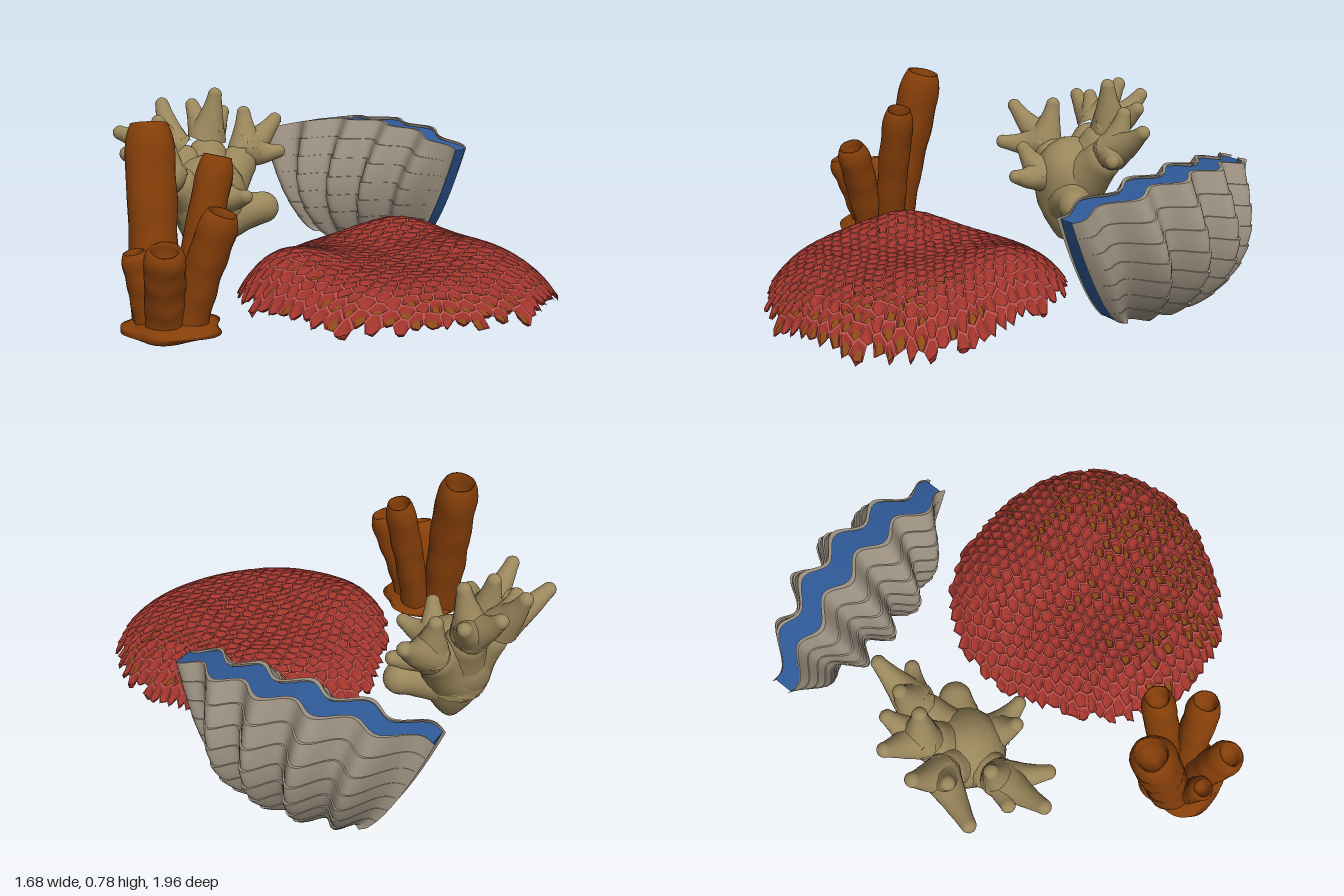
import * as THREE from 'three';
import { mergeVertices } from 'three/addons/utils/BufferGeometryUtils.js';
import { ParametricGeometry } from 'three/addons/geometries/ParametricGeometry.js';

const mat = (name, color, side = THREE.FrontSide) => {
  const m = new THREE.MeshStandardMaterial({ color, side });
  m.name = name;
  return m;
};
const V = (a) => new THREE.Vector3(...a);
const { sin, cos, PI, sqrt } = Math;

// Smooth surface from a rule (u, v) -> point
function surface(fn, nu, nv) {
  let g = new ParametricGeometry(fn, nu, nv);
  g.deleteAttribute('normal');
  g.deleteAttribute('uv');
  g = mergeVertices(g, 1e-5);
  g.computeVertexNormals();
  return g;
}

// Round rings [t, radius] swept along a curve through the points
function sweep(points, rings, sides, wobble = 0) {
  const curve = new THREE.CatmullRomCurve3(points.map(V));
  const N = 60, f = curve.computeFrenetFrames(N), last = rings.length - 1;
  return surface((u, v, out) => {
    const [t, r0] = rings[Math.round(v * last)];
    const k = Math.round(t * N), a = u * 2 * PI;
    const r = r0 * (1 + wobble * (sin(3 * a + 9 * t) + 0.7 * sin(5 * a - 23 * t)));
    out.copy(curve.getPointAt(t))
      .addScaledVector(f.normals[k], r * cos(a))
      .addScaledVector(f.binormals[k], r * sin(a));
  }, sides, last);
}

function add(group, name, geometry, material) {
  const m = new THREE.Mesh(geometry, material);
  m.name = name;
  group.add(m);
}

function part(name) {
  const g = new THREE.Group();
  g.name = name;
  return g;
}

// Cluster of hollow tubes on a lumpy foot
function tubeSponge() {
  const g = part('tubeSponge'), brown = mat('rust brown', 0x863f09);
  const tubes = [ // foot, top, radius
    [[-0.71, 0.01, 0.5], [-0.7, 0.73, 0.345], 0.095],
    [[-0.6, 0.01, 0.52], [-0.465, 0.618, 0.455], 0.071],
    [[-0.61, 0.01, 0.6], [-0.485, 0.45, 0.67], 0.074],
    [[-0.69, 0.01, 0.61], [-0.695, 0.34, 0.725], 0.076],
    [[-0.74, 0.01, 0.56], [-0.79, 0.305, 0.58], 0.053],
  ];
  for (const [a, b, r] of tubes) {
    const mid = a.map((c, i) => (c + b[i]) / 2 + (i === 1 ? 0.02 : 0));
    const rings = [];
    for (let i = 0; i <= 24; i++) {
      const t = i / 24;
      rings.push([t, r * (0.9 + 0.1 * t + 0.02 * sin(t * 23) - 0.26 * t ** 14)]);
    }
    rings.push([1, r * 0.64], [0.95, r * 0.58], [0.84, r * 0.5], [0.82, 0]);
    add(g, 'tube', sweep([a, mid, b], rings, 24, 0.02), brown);
  }
  const foot = [[0, 0], [0, 0.155], [0.25, 0.175], [0.5, 0.173], [0.75, 0.15], [1, 0.1], [1, 0]];
  add(g, 'foot', sweep([[-0.655, 0, 0.57], [-0.655, 0.025, 0.57], [-0.655, 0.05, 0.57]], foot, 60, 0.065), brown);
  return g;
}

// Thick trunk dividing into limbs and blunt fingers
function branchingCoral() {
  const g = part('branchingCoral'), tan = mat('sand tan', 0x9a875c);
  const branch = (name, pts, r0, r1) => {
    const length = V(pts[0]).distanceTo(V(pts[pts.length - 1]));
    const cap = Math.min(0.4, r1 / length), rings = [];
    for (let i = 0; i <= 14; i++) rings.push([i / 14 * (1 - cap), r1 + (r0 - r1) * (1 - i / 14) ** 1.25]);
    for (const k of [0.2, 0.4, 0.6, 0.8, 0.93, 1]) rings.push([1 - cap + cap * k, r1 * sqrt(1 - k * k)]);
    add(g, name, sweep(pts, rings, 18, 0.012), tan);
  };
  const trunk = [[0, 0], [0.02, 0.04], [0.08, 0.062], [0.2, 0.1], [0.35, 0.135], [0.5, 0.155], [0.65, 0.163], [0.78, 0.15], [0.88, 0.12], [0.96, 0.07], [1, 0]];
  add(g, 'trunk', sweep([[-0.39, 0.025, -0.28], [-0.39, 0.24, -0.29], [-0.4, 0.5, -0.32]], trunk, 28, 0.025), tan);
  const core = [-0.39, 0.26, -0.3];
  const limbs = [ // elbow, elbow radius, finger tips
    [[-0.37, 0.55, -0.46], 0.085, [[-0.33, 0.77, -0.44], [-0.42, 0.7, -0.62], [-0.27, 0.67, -0.58]]],
    [[-0.2, 0.49, -0.45], 0.085, [[-0.03, 0.63, -0.56], [-0.03, 0.49, -0.42], [-0.2, 0.68, -0.5]]],
    [[-0.52, 0.52, -0.42], 0.08, [[-0.56, 0.72, -0.54], [-0.78, 0.61, -0.36], [-0.6, 0.66, -0.4]]],
    [[-0.57, 0.43, -0.2], 0.08, [[-0.77, 0.57, -0.06], [-0.6, 0.43, 0.02], [-0.72, 0.5, -0.2], [-0.58, 0.63, -0.24]]],
    [[-0.36, 0.34, -0.17], 0.08, [[-0.26, 0.37, -0.02], [-0.39, 0.48, -0.07]]],
  ];
  for (const [e, r, tips] of limbs) {
    const mid = core.map((c, i) => (c + e[i]) / 2);
    branch('limb', [core, mid, e], 0.15, r);
    for (const tip of tips) {
      const m = e.map((c, i) => c * 0.5 + tip[i] * 0.5 - (i === 1 ? 0.012 : 0));
      branch('finger', [e, m, tip], r, 0.03);
    }
  }
  branch('sideKnob', [[-0.38, 0.22, -0.29], [-0.25, 0.25, -0.285], [-0.09, 0.275, -0.28]], 0.13, 0.068);
  return g;
}

// Two fluted valves with growth terraces around a bowed mantle
function giantClam() {
  const g = part('giantClam');
  const shell = mat('shell grey', 0x9c9181, THREE.DoubleSide);
  const blue = mat('mantle blue', 0x2f5a98, THREE.DoubleSide);
  const place = (u, v, s, flare, out) => {
    const a = u * (0.285 + 0.25 * v ** 0.65);
    const fade = 1 - Math.abs(u) ** 3;
    const bulge = (0.13 * sin(PI * Math.min(v, 1) ** 0.9) + flare) * fade;
    const half = 0.058 - 0.018 * u * u + bulge;
    const wave = (0.022 + 0.008 * v + 0.16 * bulge) * cos(15.4 * (u - 0.13));
    const bow = v * (0.06 - 0.115 * (u - 0.14) ** 2);
    const w = s * half + wave + bow;
    const y = 0.025 + v * (0.57 - 0.085 * u * u) + 0.03 * u * u * (1 - v);
    out.set(0.374 + a * 0.594 + w * 0.804, y, -0.568 + a * 0.804 - w * 0.594);
  };
  const bands = 7, w = (t) => t * 2 - 1;
  for (const s of [-1, 1]) for (let b = 0; b < bands; b++) {
    const lo = Math.max(0, b / bands - 0.01), hi = (b + 1) / bands;
    add(g, 'growthBand', surface((u, v, out) =>
      place(w(u), lo + (hi - lo) * Math.max(v, 0), s, 0.004 + 0.01 * v, out), 100, 5), shell);
    // Lip that closes the step to the next band
    add(g, 'bandLip', surface((u, v, out) =>
      place(w(u), hi, s, 0.014 - 0.018 * v, out), 100, 1), shell);
  }
  add(g, 'mantleTop', surface((u, v, out) => place(w(u) * 0.98, 0.98, w(v), -0.003, out), 100, 6), blue);
  add(g, 'mantleBase', surface((u, v, out) => place(w(u) * 0.98, 0.015, w(v), -0.003, out), 100, 4), blue);
  for (const e of [-0.98, 0.98]) {
    add(g, 'mantleEnd', surface((u, v, out) => place(e, 0.015 + u * 0.965, w(v), -0.003, out), 24, 6), blue);
  }
  return g;
}

// Low domed crust made of open honeycomb cells
function honeycombCoral() {
  const g = part('honeycombCoral');
  const mats = [
    mat('ridge rose', 0xb54f4b, THREE.DoubleSide),
    mat('coral red', 0xa6362d, THREE.DoubleSide),
    mat('pit brown', 0x8a4a16, THREE.DoubleSide),
  ];
  const bump = (x, z, cx, cz, h, r) => h * Math.exp(-((x - cx) ** 2 + (z - cz) ** 2) / (r * r));
  const project = (p, q, lift) => {
    const r0 = Math.hypot(p, q), th = Math.atan2(q, p);
    const r = Math.min(r0, 1 + 0.012 * sin(th * 47));
    const R = 0.608 + 0.025 * cos(3 * (th + PI / 2));
    const x = 0.22 + r * cos(th) * R, z = 0.413 + r * sin(th) * R;
    const y = 0.045 + 0.15 * (1 - r ** 6) + bump(x, z, -0.22, 0.43, 0.06, 0.2)
      + bump(x, z, 0.37, 0.02, 0.075, 0.22) + bump(x, z, 0.5, 0.42, 0.04, 0.22);
    return [x, Math.max(0.03, y + lift), z];
  };
  // Repeatable noise from 0 to 1 for a shared cell corner
  const noise = (x, z, seed) => {
    const n = sin(Math.round(x * 97.3 + 0.137) * 12.99 + Math.round(z * 97.3 + 0.237) * 78.23 + seed) * 43758.5;
    return n - Math.floor(n);
  };
  const s = 0.056, squash = 0.74, data = [[], [], []];
  const rings = [[1, 0.008], [0.86, 0.006], [0.56, -0.012], [0, -0.015]]; // scale, lift
  for (let j = -26; j <= 26; j++) for (let i = -12; i <= 12; i++) {
    const cx = sqrt(3) * s * (i + (j & 1) / 2), cz = 1.5 * s * squash * j;
    if (Math.hypot(cx, cz) > 0.99) continue;
    const corners = [];
    for (let k = 0; k < 6; k++) {
      const a = PI / 6 + k * PI / 3, x = cx + s * cos(a), z = cz + s * squash * sin(a);
      corners.push([x + 0.032 * (noise(x, z, 1) - 0.5), z + 0.03 * (noise(x, z, 2) - 0.5)]);
    }
    const mx = corners.reduce((t, c) => t + c[0], 0) / 6, mz = corners.reduce((t, c) => t + c[1], 0) / 6;
    const at = (n, k) => {
      const [sc, lift] = rings[n], c = corners[k % 6];
      return project(mx + (c[0] - mx) * sc, mz + (c[1] - mz) * sc, lift);
    };
    // Brown floors grow more common towards the front
    const brownFloor = noise(cx, cz, 3) < 0.25 + 0.6 * cz + 0.25 * cx;
    for (let n = 0; n < 3; n++) for (let k = 0; k < 6; k++) {
      const list = data[n === 2 && !brownFloor ? 1 : n];
      list.push(...at(n, k + 1), ...at(n, k), ...at(n + 1, k));
      if (n < 2) list.push(...at(n, k + 1), ...at(n + 1, k), ...at(n + 1, k + 1));
    }
  }
  ['cellRidges', 'cellWalls', 'cellFloors'].forEach((name, n) => {
    let geo = new THREE.BufferGeometry();
    geo.setAttribute('position', new THREE.Float32BufferAttribute(data[n], 3));
    geo = mergeVertices(geo, 1e-5);
    geo.computeVertexNormals();
    add(g, name, geo, mats[n]);
  });
  return g;
}

export function createModel() {
  const model = part('reefGroup');
  model.add(tubeSponge(), branchingCoral(), giantClam(), honeycombCoral());
  return model;
}
